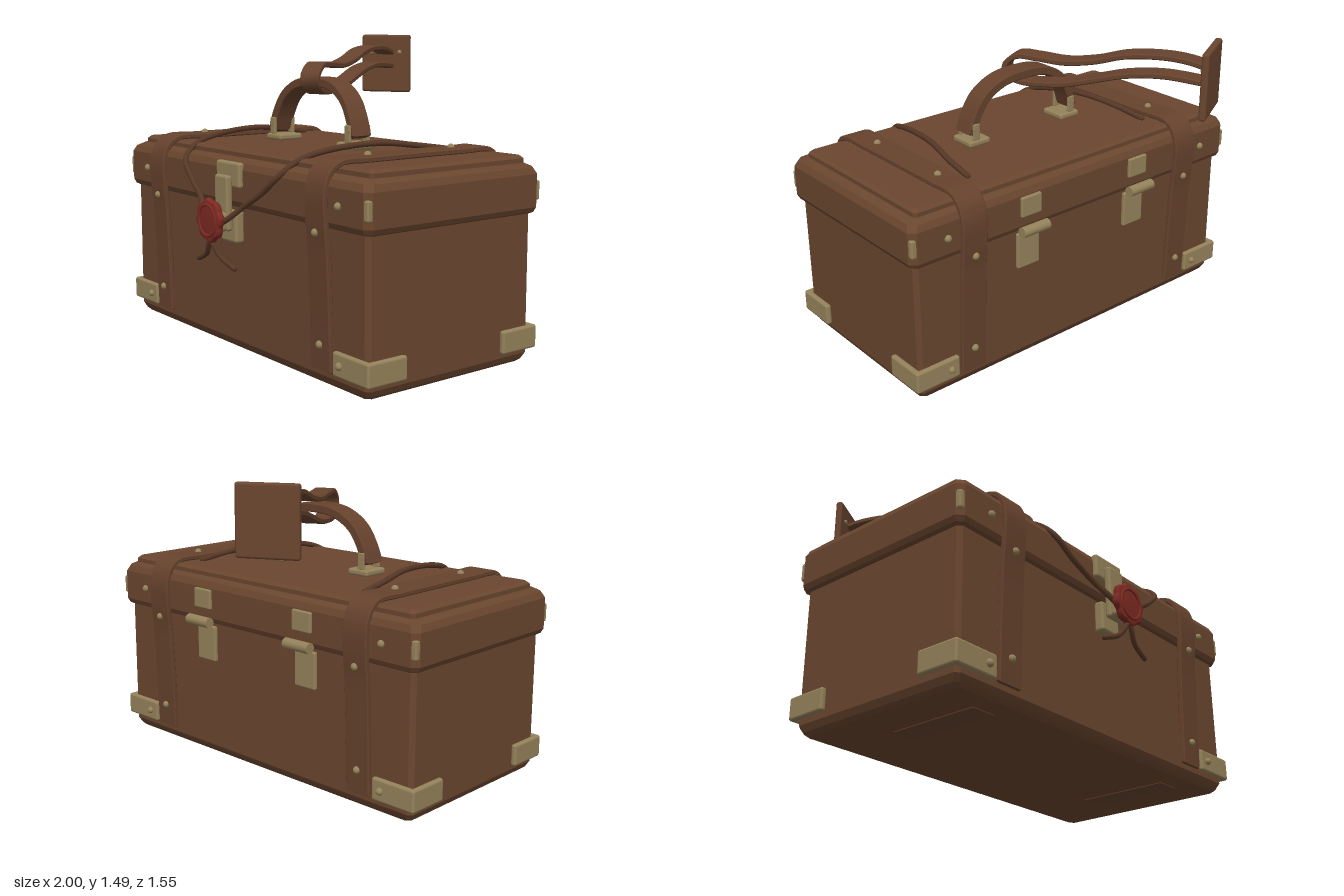
import * as THREE from 'three';
import { toCreasedNormals } from 'three/addons/utils/BufferGeometryUtils.js';
import { RoundedBoxGeometry } from 'three/addons/geometries/RoundedBoxGeometry.js';

const mat = (name, color) => {
  const m = new THREE.MeshStandardMaterial({ color });
  m.name = name;
  return m;
};

// Stack of chamfered rectangles, rings = [y, halfX, halfZ, chamfer]
function loft(rings) {
  const pos = [], idx = [];
  for (const [y, a, b, c] of rings) {
    const ring = [[a, b - c], [a, c - b], [a - c, -b], [c - a, -b], [-a, c - b], [-a, b - c], [c - a, b], [a - c, b]];
    for (const [x, z] of ring) pos.push(x, y, z);
  }
  const n = rings.length;
  for (let i = 0; i < n - 1; i++) for (let j = 0; j < 8; j++) {
    const a = i * 8 + j, b = i * 8 + (j + 1) % 8;
    idx.push(a, b, a + 8, b, b + 8, a + 8);
  }
  for (let j = 1; j < 7; j++) {
    const t = (n - 1) * 8;
    idx.push(t, t + j, t + j + 1, 0, j + 1, j);
  }
  const g = new THREE.BufferGeometry();
  g.setAttribute('position', new THREE.Float32BufferAttribute(pos, 3));
  g.setIndex(idx);
  return toCreasedNormals(g, 0.4);
}

// Band of given thickness following a 2D path, extruded to a width centred on z = 0
function band(points, thickness, width, samples = 60) {
  const curve = new THREE.CatmullRomCurve3(points.map(([x, y]) => new THREE.Vector3(x, y, 0)), false, 'centripetal');
  const outer = [], inner = [], bevel = 0.005, h = thickness / 2 - bevel;
  for (let i = 0; i <= samples; i++) {
    const p = curve.getPointAt(i / samples), t = curve.getTangentAt(i / samples);
    outer.push(new THREE.Vector2(p.x - t.y * h, p.y + t.x * h));
    inner.push(new THREE.Vector2(p.x + t.y * h, p.y - t.x * h));
  }
  const g = new THREE.ExtrudeGeometry(new THREE.Shape([...outer, ...inner.reverse()]), {
    depth: width - 2 * bevel, bevelEnabled: true, bevelSize: bevel, bevelThickness: bevel, bevelSegments: 1,
  });
  g.translate(0, 0, -width / 2 + bevel);
  return toCreasedNormals(g, 0.6);
}

export function createModel() {
  const leather = mat('leather', 0x6a462f);
  const strapLeather = mat('strap leather', 0x66422d);
  const cordBrown = mat('cord brown', 0x573826);
  const brass = mat('aged brass', 0x94825a);
  const wax = mat('red wax', 0x7d2a22);

  const model = new THREE.Group();
  model.name = 'travelCase';
  const add = (name, geometry, material, x = 0, y = 0, z = 0, parent = model) => {
    const m = new THREE.Mesh(geometry, material);
    m.name = name;
    m.position.set(x, y, z);
    parent.add(m);
    return m;
  };
  const box = (name, material, w, h, d, x, y, z, r = 0.008, parent = model) =>
    add(name, new RoundedBoxGeometry(w, h, d, 2, r), material, x, y, z, parent);
  const rivetGeo = new THREE.SphereGeometry(0.018, 12, 8);
  const rivet = (x, y, z, parent = model) => add('rivet', rivetGeo, brass, x, y, z, parent);
  const ZC = 0.133; // depth centre of the case

  // Case body, lid and raised top panel
  add('body', loft([[0.005, 0.935, 0.445, 0.02], [0.02, 0.955, 0.46, 0.02], [0.05, 0.97, 0.475, 0.02],
    [0.74, 0.97, 0.475, 0.02]]), leather, 0, 0, ZC);
  add('lid', loft([[0.695, 0.975, 0.478, 0.02], [0.702, 0.988, 0.492, 0.025], [0.725, 1, 0.503, 0.03],
    [0.875, 1, 0.503, 0.03], [0.905, 0.985, 0.488, 0.03], [0.922, 0.955, 0.458, 0.03]]), leather, 0, 0, ZC);
  add('topPanel', loft([[0.9, 0.945, 0.447, 0.015], [0.942, 0.945, 0.447, 0.015], [0.956, 0.93, 0.432, 0.015]]),
    leather, 0, 0, ZC - 0.01);

  // Straps over the lid with their rivets
  const strapPath = [[0.613, 0.08], [0.622, 0.35], [0.634, 0.62], [0.643, 0.72], [0.643, 0.86], [0.615, 0.93], [0.56, 0.965],
    [0.4, 0.968], [-0.15, 0.968], [-0.3, 0.965], [-0.35, 0.93], [-0.378, 0.86], [-0.378, 0.72], [-0.368, 0.62], [-0.356, 0.35], [-0.347, 0.08]];
  const strapGeo = band(strapPath, 0.026, 0.138, 110).rotateY(-Math.PI / 2);
  for (const s of [-1, 1]) {
    add('caseStrap', strapGeo, strapLeather, s * 0.675);
    box('bottomStrap', strapLeather, 0.13, 0.012, 0.46, s * 0.675, 0.006, 0.25, 0.003);
    for (const [y, z] of [[0.19, 0.63], [0.675, 0.652], [0.19, -0.364], [0.675, -0.386], [0.98, 0.37], [0.98, -0.12]])
      rivet(s * 0.675, y, z);
    for (const z of [0.636, -0.37]) rivet(s * 0.81, 0.8, z);
  }

  // Brass corner guards on the body and lid
  for (const sx of [-1, 1]) for (const sz of [-1, 1]) {
    const z = (d) => ZC + sz * d;
    box('cornerFront', brass, 0.24, 0.108, 0.03, sx * 0.879, 0.127, z(0.482), 0.012);
    box('cornerSide', brass, 0.03, 0.108, 0.215, sx * 0.985, 0.127, z(0.39), 0.012);
    box('lidCorner', brass, 0.034, 0.09, 0.034, sx * 0.98, 0.8, z(0.483), 0.01);
    rivet(sx * 0.81, 0.127, z(0.498));
  }

  // Hinges on the back
  const barrel = new THREE.CylinderGeometry(0.026, 0.026, 0.155, 16).rotateZ(Math.PI / 2);
  for (const s of [-1, 1]) {
    box('hingeUpper', brass, 0.12, 0.1, 0.025, s * 0.343, 0.82, -0.372);
    add('hingeBarrel', barrel, brass, s * 0.343, 0.71, -0.402);
    box('hingeLower', brass, 0.13, 0.18, 0.025, s * 0.343, 0.59, -0.347);
  }

  // Front clasp
  box('claspPlate', brass, 0.2, 0.12, 0.035, 0, 0.85, 0.64, 0.014);
  box('claspHasp', brass, 0.11, 0.26, 0.035, 0, 0.72, 0.678, 0.014);
  box('claspStaple', brass, 0.13, 0.15, 0.05, 0, 0.605, 0.63, 0.014);
  box('claspKnob', brass, 0.1, 0.09, 0.05, 0, 0.635, 0.7, 0.02);

  // Wax seal with wavy outline and raised rim
  const sealShape = new THREE.Shape();
  for (let i = 0; i < 72; i++) {
    const a = i / 72 * Math.PI * 2, r = 0.089 + 0.005 * Math.sin(8 * a + 0.6) + 0.002 * Math.sin(3 * a);
    sealShape[i ? 'lineTo' : 'moveTo'](r * Math.cos(a), r * Math.sin(a));
  }
  const sealGeo = new THREE.ExtrudeGeometry(sealShape, { depth: 0.012, bevelEnabled: true, bevelSize: 0.011, bevelThickness: 0.011, bevelSegments: 3 });
  add('waxSeal', toCreasedNormals(sealGeo, 0.7), wax, 0, 0.645, 0.745);
  add('waxSealRim', new THREE.TorusGeometry(0.072, 0.008, 8, 40), wax, 0, 0.645, 0.767);

  // Cord over the lid with loose tails under the seal
  const cord = (name, pts, r) => {
    for (const s of [-1, 1]) {
      const path = new THREE.CatmullRomCurve3(pts.map(([x, y, z]) => new THREE.Vector3(s * x, y, z)));
      add(name, new THREE.TubeGeometry(path, 60, r, 8), cordBrown);
      const [x, y, z] = pts[pts.length - 1];
      add(name + 'End', new THREE.SphereGeometry(r, 8, 6), cordBrown, s * x, y, z);
    }
  };
  cord('cord', [[0, 0.62, 0.735], [0.09, 0.65, 0.73], [0.18, 0.72, 0.69], [0.3, 0.795, 0.668], [0.4, 0.88, 0.645], [0.44, 0.95, 0.56],
    [0.47, 0.99, 0.4], [0.51, 1.005, 0.15], [0.545, 0.985, -0.03], [0.56, 0.962, -0.19]], 0.014);
  cord('cordTail', [[-0.02, 0.6, 0.745], [0.015, 0.54, 0.75], [0.06, 0.48, 0.735], [0.155, 0.438, 0.722]], 0.012);

  // Carrying handle with brass feet
  const half = [[0.325, 1.02], [0.295, 1.1], [0.24, 1.185], [0.14, 1.245]];
  const handlePath = [...half.map(([x, y]) => [-x, y]), [0, 1.262], ...half.slice().reverse()];
  const handleGeo = band(handlePath, 0.044, 0.11);
  const hp = handleGeo.attributes.position;
  for (let i = 0; i < hp.count; i++) hp.setZ(i, hp.getZ(i) - 0.02 * (1 - (hp.getX(i) / 0.33) ** 2)); // slight sideways bow
  add('handle', handleGeo, strapLeather, 0, 0, 0.13);
  for (const s of [-1, 1]) {
    box('handleFoot', brass, 0.125, 0.032, 0.14, s * 0.29, 0.975, 0.13, 0.012);
    for (const z of [0.075, 0.185]) box('handleLug', brass, 0.04, 0.085, 0.016, s * 0.305, 1.03, z, 0.006);
    add('handlePin', new THREE.CylinderGeometry(0.014, 0.014, 0.13, 12).rotateX(Math.PI / 2), brass, s * 0.31, 1.045, 0.13);
  }

  // Luggage tag on a strap looped round the handle
  const tag = new THREE.Group();
  tag.name = 'luggageTag';
  tag.position.set(-0.465, 0, -0.7);
  tag.rotation.y = 0.495;
  model.add(tag);
  box('tagPlate', leather, 0.285, 0.32, 0.035, 0, 1.325, 0, 0.012, tag);
  const loop = [[0, 1.385], [0.1, 1.408], [0.22, 1.416], [0.4, 1.4], [0.55, 1.358], [0.7, 1.335], [0.85, 1.342], [0.95, 1.34], [1.01, 1.285],
    [0.99, 1.235], [0.92, 1.212], [0.82, 1.214], [0.7, 1.226], [0.55, 1.265], [0.4, 1.305], [0.22, 1.325], [0, 1.312]];
  add('tagStrap', band(loop, 0.026, 0.1, 90).rotateY(-Math.PI / 2), strapLeather, 0, 0, 0, tag);
  for (const s of [-1, 1]) rivet(s * 0.085, 1.388, 0.018, tag).scale.setScalar(0.7);

  return model;
}
